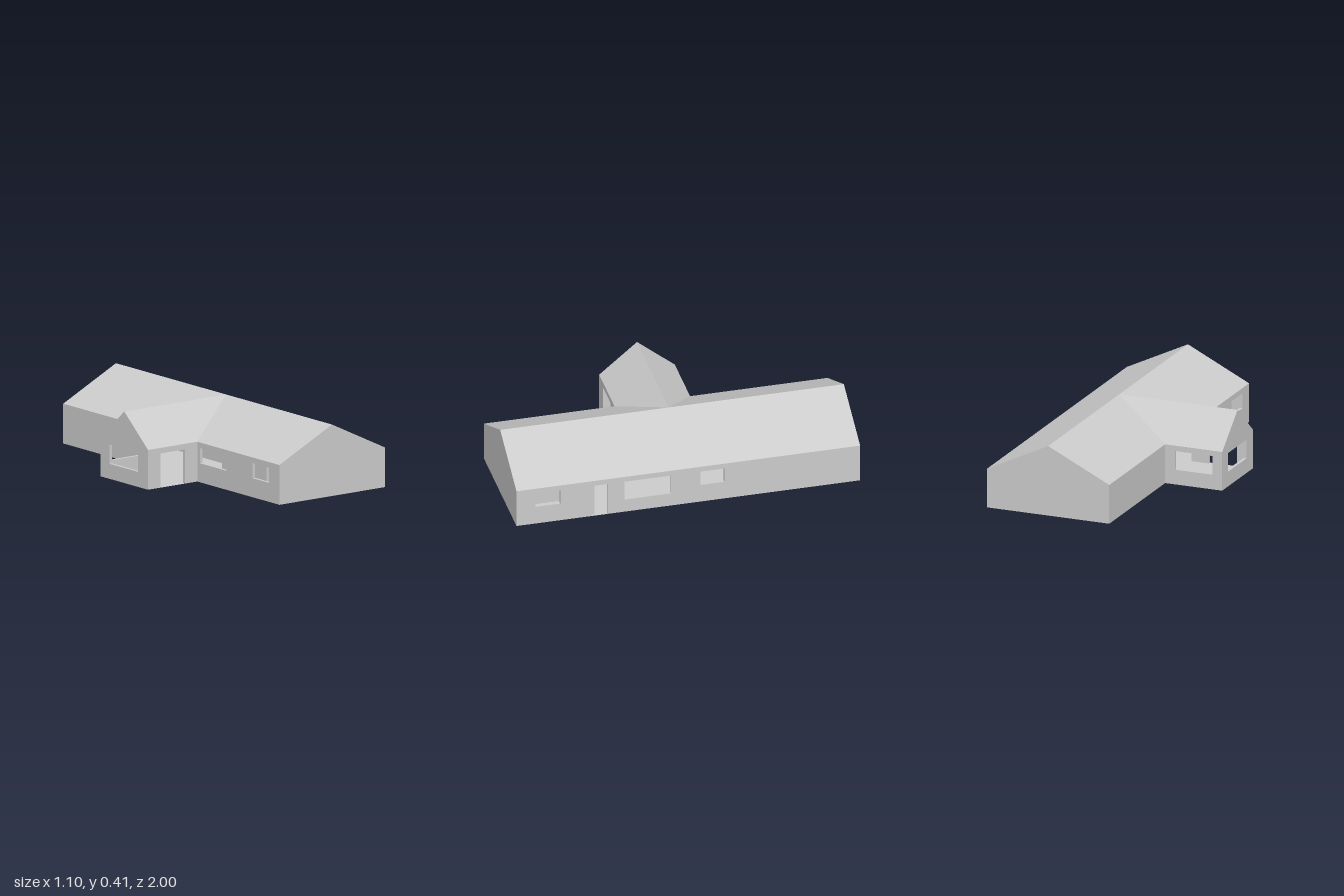
import * as THREE from 'three';

const T = 0.018;                       // wall thickness
const EAVE = 0.23, RIDGE = 0.413;
const X0 = -0.2, X1 = 0.55, XR = 0.175; // main block sides and ridge
const WX = -0.55;                       // wing end
const WZ0 = -0.2, WZ1 = 0.24, WZR = 0.02;

export function createModel() {
  const house = new THREE.Group();
  house.name = 'house';
  const mat = new THREE.MeshStandardMaterial({ color: 0xcccccc, flatShading: true });
  const sheet = new THREE.MeshStandardMaterial({ color: 0xcccccc, flatShading: true, side: THREE.DoubleSide });

  const add = (name, geo, material = mat) => {
    const mesh = new THREE.Mesh(geo, material);
    mesh.name = name;
    house.add(mesh);
    return mesh;
  };

  // Upright wall running along x or z from a to b; its low side lies at `at`.
  // doors: [from, to, top], windows: [from, to, sill, top], peak: gable apex position
  function wall(name, along, at, a, b, { doors = [], windows = [], peak = null } = {}) {
    const pts = [[a, 0]];
    for (const [p, q, top] of doors) pts.push([p, 0], [p, top], [q, top], [q, 0]);
    pts.push([b, 0], [b, EAVE]);
    if (peak !== null) pts.push([peak, RIDGE]);
    pts.push([a, EAVE]);
    const shape = new THREE.Shape(pts.map(p => new THREE.Vector2(...p)));
    for (const [p, q, lo, hi] of windows) {
      shape.holes.push(new THREE.Path([[p, lo], [p, hi], [q, hi], [q, lo]].map(v => new THREE.Vector2(...v))));
    }
    const geo = new THREE.ExtrudeGeometry(shape, { depth: T, bevelEnabled: false });
    if (along === 'z') geo.rotateY(-Math.PI / 2).translate(at + T, 0, 0);
    else geo.translate(0, 0, at);
    add(name, geo);
  }

  // Flat polygon from corners given in order (fan of triangles)
  function panel(name, corners) {
    const geo = new THREE.BufferGeometry();
    const pos = [];
    for (let i = 1; i < corners.length - 1; i++) pos.push(...corners[0], ...corners[i], ...corners[i + 1]);
    geo.setAttribute('position', new THREE.Float32BufferAttribute(pos, 3));
    geo.computeVertexNormals();
    add(name, geo, sheet);
  }

  // Main block walls
  wall('frontGable', 'x', 1 - T, X0, X1, { peak: XR });
  wall('backGable', 'x', -1, X0, X1, { peak: XR });
  wall('entranceWall', 'z', X1 - T, -1 + T, 1 - T, {
    doors: [[0.47, 0.557, 0.198]],
    windows: [[-0.21, -0.07, 0.11, 0.198], [0.1, 0.37, 0.08, 0.198], [0.745, 0.89, 0.11, 0.198]],
  });
  wall('rearWallFront', 'z', X0, WZ1 - T, 1 - T, {
    windows: [[0.265, 0.51, 0.11, 0.198], [0.75, 0.905, 0.11, 0.198]],
  });
  wall('rearWallBack', 'z', X0, -1 + T, WZ0 + T);

  // Wing walls
  wall('wingGable', 'z', WX, WZ0, WZ1, { peak: WZR, windows: [[-0.115, 0.147, 0.087, 0.198]] });
  wall('wingDoorWall', 'x', WZ1 - T, WX + T, X0, { doors: [[-0.46, -0.287, 0.198]] });
  wall('wingWindowWall', 'x', WZ0, WX + T, X0, { windows: [[-0.49, -0.26, 0.087, 0.198]] });

  // Inner partitions
  wall('hallPartition', 'x', 0.542, 0.046, X1 - T);
  wall('bedroomPartition', 'z', 0.33, 0.56, 1 - T, { doors: [[0.575, 0.63, 0.198]] });
  wall('kitchenPartition', 'z', 0.046, 0.15, 0.542, { windows: [[0.17, 0.33, 0.11, 0.198]] });
  wall('corridorPartition', 'z', 0.2, -1 + T, 0.01);
  wall('wingPartition', 'z', -0.09, -1 + T, 0.03, { doors: [[-0.29, 0.01, 0.198]] });

  // Floor and ceiling sheets, main block plus wing
  for (const [name, y] of [['floor', 0], ['ceiling', EAVE]]) {
    panel(name, [[X0, y, -1], [X0, y, 1], [X1, y, 1], [X1, y, -1]]);
    panel('wing ' + name, [[WX, y, WZ0], [WX, y, WZ1], [X0, y, WZ1], [X0, y, WZ0]]);
  }

  // Main roof: one whole slope, the other split around the wing valley
  const apex = [XR, RIDGE, WZR];
  panel('entranceRoofSlope', [[X1, EAVE, 1], [X1, EAVE, -1], [XR, RIDGE, -1], [XR, RIDGE, 1]]);
  panel('rearRoofSlopeFront', [[X0, EAVE, WZ1], [X0, EAVE, 1], [XR, RIDGE, 1], apex]);
  panel('rearRoofSlopeBack', [[X0, EAVE, -1], [X0, EAVE, WZ0], apex, [XR, RIDGE, -1]]);

  // Wing roof running into the main ridge
  panel('wingRoofSlopeFront', [[WX, EAVE, WZ1], [X0, EAVE, WZ1], apex, [WX, RIDGE, WZR]]);
  panel('wingRoofSlopeBack', [[X0, EAVE, WZ0], [WX, EAVE, WZ0], [WX, RIDGE, WZR], apex]);

  return house;
}
